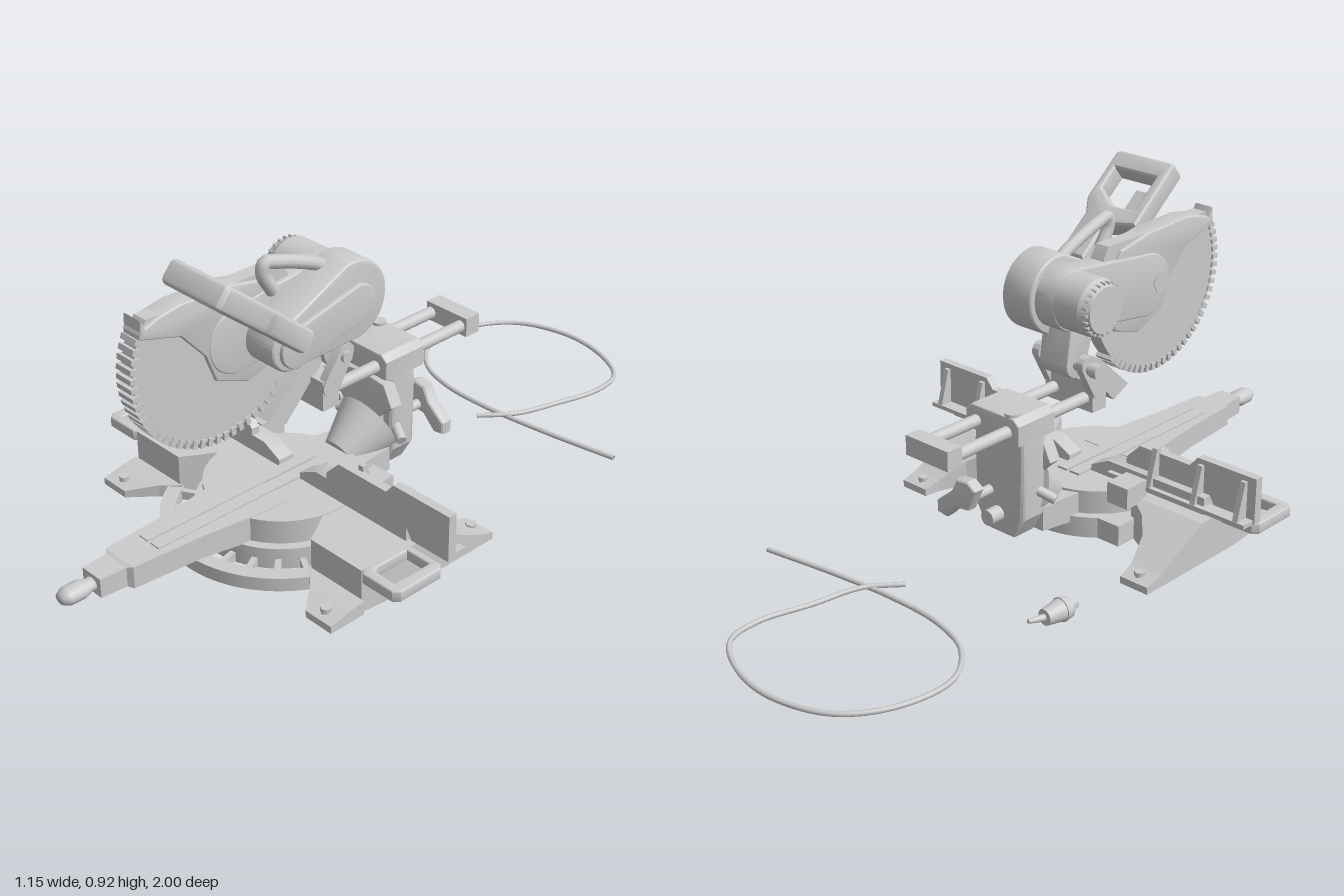
import * as THREE from 'three';
import { toCreasedNormals } from 'three/addons/utils/BufferGeometryUtils.js';

const mat = new THREE.MeshStandardMaterial({ color: 0xcccccc, side: THREE.DoubleSide });
const { PI } = Math;

export function createModel() {
  const root = new THREE.Group();
  root.name = 'slidingMitreSaw';

  const add = (name, geo, parent = root) => {
    const m = new THREE.Mesh(geo, mat);
    m.name = name;
    parent.add(m);
    return m;
  };
  const box = (name, x, y, z, w, h, d, parent, rx = 0) => {
    const m = add(name, new THREE.BoxGeometry(w, h, d), parent);
    m.position.set(x, y, z);
    m.rotation.x = rx;
    return m;
  };
  // cylinder between two points
  const rod = (name, a, b, r1, r2 = r1, parent, n = 24) => {
    const p = new THREE.Vector3(...a), q = new THREE.Vector3(...b);
    const m = add(name, new THREE.CylinderGeometry(r2, r1, p.distanceTo(q), n), parent);
    m.position.copy(p).add(q).multiplyScalar(0.5);
    m.quaternion.setFromUnitVectors(new THREE.Vector3(0, 1, 0), q.sub(p).normalize());
    return m;
  };
  const poly = (pts) => new THREE.Shape(pts.map((p) => new THREE.Vector2(...p)));
  const extrude = (shape, depth, bevel = 0) => toCreasedNormals(new THREE.ExtrudeGeometry(shape, {
    depth: depth - 2 * bevel, curveSegments: 32, bevelEnabled: bevel > 0,
    bevelSize: bevel, bevelThickness: bevel, bevelOffset: -bevel, bevelSegments: 3,
  }).translate(0, 0, bevel), 0.5);
  // outline in (z, y), spanning x0..x1
  const side = (name, shape, x0, x1, bevel, parent) =>
    add(name, extrude(shape, x1 - x0, bevel).rotateY(-PI / 2).translate(x1, 0, 0), parent);
  // outline in (x, z), spanning y0..y1
  const plan = (name, shape, y0, y1, parent, bevel) =>
    add(name, extrude(shape, y1 - y0, bevel).rotateX(PI / 2).translate(0, y1, 0), parent);
  // outline in (x, y), spanning z0..z1
  const front = (name, shape, z0, z1, parent, bevel) =>
    add(name, extrude(shape, z1 - z0, bevel).translate(0, 0, z0), parent);
  // two circles joined by straight sides
  const link = (ax, ay, ar, bx, by, br) => {
    const f = Math.atan2(by - ay, bx - ax), s = new THREE.Shape();
    s.absarc(ax, ay, ar, f + PI / 2, f + 1.5 * PI);
    s.absarc(bx, by, br, f - PI / 2, f + PI / 2);
    s.closePath();
    return s;
  };
  const ring = (r0, r1, cz, a0 = 0, a1 = 2 * PI) => {
    const s = new THREE.Shape();
    s.absarc(0, cz, r1, a0, a1);
    s.absarc(0, cz, r0, a1, a0, true);
    return s;
  };
  // rectangular sections [z, x0, x1, y0, y1] joined along z; side 0 is the underside, left out of castings
  const loft = (name, secs, parent, firstSide = 0) => {
    const v = [], c = secs.map(([z, x0, x1, y0, y1]) => [[x0, y0, z], [x1, y0, z], [x1, y1, z], [x0, y1, z]]);
    const quad = (a, b, d, e) => v.push(...a, ...b, ...d, ...a, ...d, ...e);
    for (let k = 0; k < c.length - 1; k++) for (let i = firstSide; i < 4; i++) {
      const j = (i + 1) % 4;
      quad(c[k][i], c[k][j], c[k + 1][j], c[k + 1][i]);
    }
    quad(...[...c[0]].reverse());
    quad(...c[c.length - 1]);
    const g = new THREE.BufferGeometry();
    g.setAttribute('position', new THREE.Float32BufferAttribute(v, 3));
    g.computeVertexNormals();
    return add(name, g, parent);
  };

  // base, fence and side grip, built once and mirrored
  const half = new THREE.Group();
  half.name = 'leftBaseHalf';
  loft('baseWing', [[-0.03, 0.36, 0.45, 0.025, 0.045], [0.02, 0.355, 0.45, 0.025, 0.06], [0.1, 0.325, 0.45, 0.025, 0.1],
    [0.15, 0.28, 0.45, 0.025, 0.125], [0.19, 0.21, 0.45, 0.025, 0.145], [0.33, 0.2, 0.45, 0.025, 0.15],
    [0.43, 0.26, 0.44, 0.025, 0.15]], half, 1);
  loft('frontFoot', [[0.43, 0.25, 0.45, 0.025, 0.065], [0.47, 0.3, 0.45, 0.025, 0.06], [0.54, 0.36, 0.45, 0.025, 0.045]], half);
  box('rearFootPad', 0.405, 0.035, 0.01, 0.09, 0.02, 0.08, half);
  box('castingRib', 0.325, 0.085, 0.2, 0.24, 0.11, 0.008, half);
  for (const z of [0, 0.51]) rod('footBolt', [0.4, 0.03, z], [0.4, 0.063, z], 0.015, 0.015, half, 6);
  const grip = poly([[0.44, 0.27], [0.55, 0.27], [0.565, 0.285], [0.565, 0.42], [0.55, 0.435], [0.45, 0.435], [0.44, 0.425]]);
  grip.holes.push(poly([[0.455, 0.29], [0.53, 0.29], [0.53, 0.405], [0.465, 0.405], [0.455, 0.39]]));
  plan('sideGrip', grip, 0.117, 0.15, half, 0.006);
  front('slidingFence', poly([[0.145, 0.2], [0.43, 0.2], [0.45, 0.165], [0.575, 0.165], [0.575, 0.295], [0.385, 0.295],
    [0.36, 0.265], [0.19, 0.265], [0.145, 0.22]]), 0.245, 0.27, half);
  front('lowerFence', poly([[0.04, 0.17], [0.1, 0.2], [0.43, 0.2], [0.43, 0.152], [0.04, 0.152]]), 0.22, 0.268, half);
  for (const x of [0.25, 0.4, 0.54]) {
    side('fenceRib', poly([[0.25, 0.17], [0.25, 0.28], [0.235, 0.28], [0.205, 0.17]]), x - 0.008, x + 0.008, 0, half);
  }
  box('fenceFoot', 0.34, 0.17, 0.225, 0.46, 0.012, 0.04, half);
  box('fenceClamp', 0.21, 0.165, 0.17, 0.07, 0.06, 0.08, half);
  root.add(half);
  const mirrored = half.clone();
  mirrored.name = 'rightBaseHalf';
  mirrored.scale.x = -1;
  root.add(mirrored);

  // scale ring with open windows
  const C = 0.29;
  plan('scaleRing', ring(0.285, 0.325, C, -0.1, PI + 0.1), 0.022, 0.06);
  plan('innerRing', ring(0.19, 0.235, C), 0.025, 0.085);
  for (let i = 0; i <= 12; i++) {
    const a = (i / 12 - 0.5) * PI;
    const s = box('ringSpoke', Math.sin(a) * 0.255, 0.042, C + Math.cos(a) * 0.255, 0.016, 0.025, 0.08);
    s.rotation.y = a;
  }
  box('rearCrossMember', 0, 0.055, 0.15, 0.46, 0.06, 0.07);

  // turntable and front arm
  rod('turntable', [0, 0.085, C], [0, 0.152, C], 0.21, 0.21, root, 64);
  rod('turntableHub', [0, 0.055, C], [0, 0.09, C], 0.17, 0.17, root, 48);
  loft('tableArm', [[0.35, -0.1, 0.1, 0.07, 0.154], [0.47, -0.09, 0.09, 0.08, 0.154], [0.62, -0.07, 0.07, 0.09, 0.154],
    [0.82, -0.055, 0.055, 0.092, 0.154], [0.83, -0.04, 0.04, 0.095, 0.15], [0.905, -0.035, 0.035, 0.097, 0.15]]);
  for (const s of [-1, 1]) box('kerfPlate', s * 0.022, 0.155, 0.45, 0.034, 0.006, 0.56);
  const knob = add('tableKnob', new THREE.LatheGeometry([[0, 0], [0.022, 0], [0.02, 0.025], [0.029, 0.05], [0.028, 0.09],
    [0.018, 0.108], [0, 0.11]].map((p) => new THREE.Vector2(...p)), 24).rotateX(PI / 2));
  knob.position.set(0, 0.122, 0.89);
  knob.scale.y = 0.8;

  // rear tongue, bevel head and column
  loft('rearTongue', [[-0.02, -0.08, 0.08, 0.07, 0.14], [0.2, -0.11, 0.11, 0.06, 0.15]]);
  rod('bevelPivot', [0, 0.185, -0.02], [0, 0.13, 0.09], 0.095, 0.05, root, 40);
  front('bevelScale', poly([[-0.115, 0.285], [-0.06, 0.235], [-0.06, 0.2], [0.06, 0.2], [0.06, 0.235], [0.115, 0.285], [0.085, 0.345],
    [0, 0.355], [-0.085, 0.345]]), -0.03, 0.01, root, 0.004);
  front('column', poly([[-0.05, 0.07], [0.05, 0.07], [0.085, 0.13], [0.09, 0.32], [0.085, 0.4], [-0.085, 0.4],
    [-0.09, 0.32], [-0.085, 0.13]]), -0.108, -0.015, root, 0.015);
  front('railCarriage', poly([[-0.095, 0.36], [0.095, 0.36], [0.095, 0.415], [0.075, 0.432], [-0.075, 0.432], [-0.095, 0.415]]),
    -0.13, 0.01, root, 0.005);
  rod('carriageKnob', [-0.055, 0.43, -0.11], [-0.055, 0.44, -0.11], 0.02);
  for (const s of [-1, 1]) {
    rod('bevelStop', [s * 0.08, 0.2, -0.04], [s * 0.125, 0.18, -0.02], 0.014);
    rod('slideRail', [s * 0.055, 0.39, -0.34], [s * 0.055, 0.39, 0.2], 0.017);
  }
  box('railEndCap', 0.003, 0.392, -0.336, 0.15, 0.055, 0.05);
  rod('clampBolt', [0.03, 0.19, -0.1], [0.03, 0.19, -0.2], 0.014);
  rod('lowerPin', [0, 0.13, -0.1], [0, 0.13, -0.15], 0.022);
  const lever = poly([[0.01, 0.17], [0.05, 0.165], [0.09, 0.125], [0.125, 0.13], [0.125, 0.165], [0.07, 0.21], [0.05, 0.25],
    [0.01, 0.255], [-0.02, 0.235]]);
  front('bevelLockLever', lever, -0.215, -0.175, root, 0.01);

  // hinge between rails and saw head
  box('railFrontBlock', 0, 0.397, 0.197, 0.17, 0.085, 0.055);
  for (const s of [-1, 1]) {
    side('hingeCheek', link(0.195, 0.42, 0.03, 0.145, 0.5, 0.025), s * 0.078 - 0.012, s * 0.078 + 0.012);
  }
  rod('hingePin', [-0.1, 0.49, 0.15], [0.1, 0.49, 0.15], 0.016);
  rod('hingeKnob', [-0.125, 0.49, 0.15], [-0.1, 0.49, 0.15], 0.02);
  side('hingeArm', link(0.15, 0.49, 0.04, 0.18, 0.63, 0.05), -0.045, 0.055, 0.005);
  side('dustChute', poly([[0.2, 0.5], [0.25, 0.475], [0.37, 0.365], [0.31, 0.335], [0.22, 0.43], [0.18, 0.47]]), -0.04, 0.04);

  // blade guard: clipped disc with a slatted rim
  const bz = 0.505, by = 0.628, R = 0.255, cut = 0.62;
  const disc = new THREE.Shape();
  disc.absarc(bz, by, R, PI - cut, 2 * PI + cut);
  disc.closePath();
  side('lowerGuard', disc, -0.022, 0.022);
  for (let i = 0; i <= 30; i++) {
    const a = 0.5 - i * 0.096;
    box('guardSlat', 0, by + Math.sin(a) * R, bz + Math.cos(a) * R, 0.055, 0.014, 0.022, root, -a);
  }
  side('upperGuard', poly([[0.74, 0.735], [0.735, 0.785], [0.72, 0.76], [0.68, 0.775], [0.62, 0.785], [0.46, 0.78], [0.34, 0.755],
    [0.28, 0.66], [0.32, 0.53], [0.42, 0.5], [0.52, 0.54], [0.55, 0.62], [0.62, 0.7]]), -0.032, 0.032, 0.006);
  rod('bladeBolt', [-0.04, by, bz], [0.03, by, bz], 0.035, 0.035, root, 6);
  side('gearCase', link(0.15, 0.668, 0.085, 0.45, 0.63, 0.09), -0.038, 0.035, 0.006);

  // motor with cooling ribs
  const my = 0.672, mz = 0.145;
  rod('motorBody', [-0.115, my, mz], [0.03, my, mz], 0.079, 0.079, root, 40);
  rod('motorCap', [-0.147, my, mz], [-0.115, my, mz], 0.064, 0.079, root, 40);
  for (let i = 0; i < 24; i++) {
    const a = i * PI / 12;
    box('motorRib', -0.127, my + Math.sin(a) * 0.067, mz + Math.cos(a) * 0.067, 0.03, 0.006, 0.014, root, -a);
  }

  // belt housing
  side('beltHousing', link(0.16, 0.665, 0.111, 0.365, 0.615, 0.065), 0.03, 0.135, 0.01);
  side('beltCover', link(0.15, 0.66, 0.053, 0.355, 0.612, 0.053), 0.12, 0.147, 0.005);

  // carry bar above the head
  const bar = new THREE.CatmullRomCurve3([[0.36, 0.74], [0.39, 0.795], [0.385, 0.822], [0.35, 0.815], [0.22, 0.765], [0.17, 0.73]]
    .map(([z, y]) => new THREE.Vector3(0.06, y, z)));
  add('carryBar', new THREE.TubeGeometry(bar, 40, 0.018, 12));

  // main handle: tilted loop on a stem, local y runs along the slope
  const handle = new THREE.Group();
  handle.name = 'mainHandle';
  handle.position.set(0, 0.68, 0.4);
  handle.rotation.x = 0.878;
  const loop = poly([[0.13, -0.02], [0.218, -0.02], [0.218, 0.12], [0.245, 0.17], [0.245, 0.33], [0.235, 0.34], [0.045, 0.34],
    [0.035, 0.33], [0.035, 0.12], [0.13, 0.1]]);
  loop.holes.push(poly([[0.07, 0.165], [0.15, 0.165], [0.215, 0.21], [0.215, 0.28], [0.07, 0.28]]));
  front('handleLoop', loop, -0.032, 0.032, handle, 0.014);
  box('trigger', 0.095, 0.19, 0, 0.035, 0.09, 0.03, handle);
  root.add(handle);

  // loose power cord and plug behind the saw
  const cord = new THREE.CatmullRomCurve3([[0.43, -0.545], [0.2, -0.51], [0, -0.492], [-0.17, -0.5], [-0.3, -0.55], [-0.38, -0.66],
    [-0.365, -0.82], [-0.28, -0.94], [-0.12, -0.993], [0.03, -0.97], [0.14, -0.9], [0.16, -0.8], [0.125, -0.65], [0.09, -0.52], [0.02, -0.43]]
    .map(([x, z], i) => new THREE.Vector3(x, i > 12 ? 0.04 : 0.034, z)));
  add('powerCord', new THREE.TubeGeometry(cord, 160, 0.007, 8));
  rod('plugBody', [-0.343, 0.033, -0.3], [-0.347, 0.033, -0.245], 0.022, 0.03);
  rod('plugFace', [-0.347, 0.033, -0.245], [-0.35, 0.033, -0.22], 0.033, 0.028);
  rod('plugTail', [-0.33, 0.036, -0.345], [-0.343, 0.033, -0.3], 0.006, 0.01);
  for (const s of [-1, 1]) box('plugProng', -0.35 + s * 0.012, 0.033, -0.21, 0.005, 0.014, 0.03);
  return root;
}
